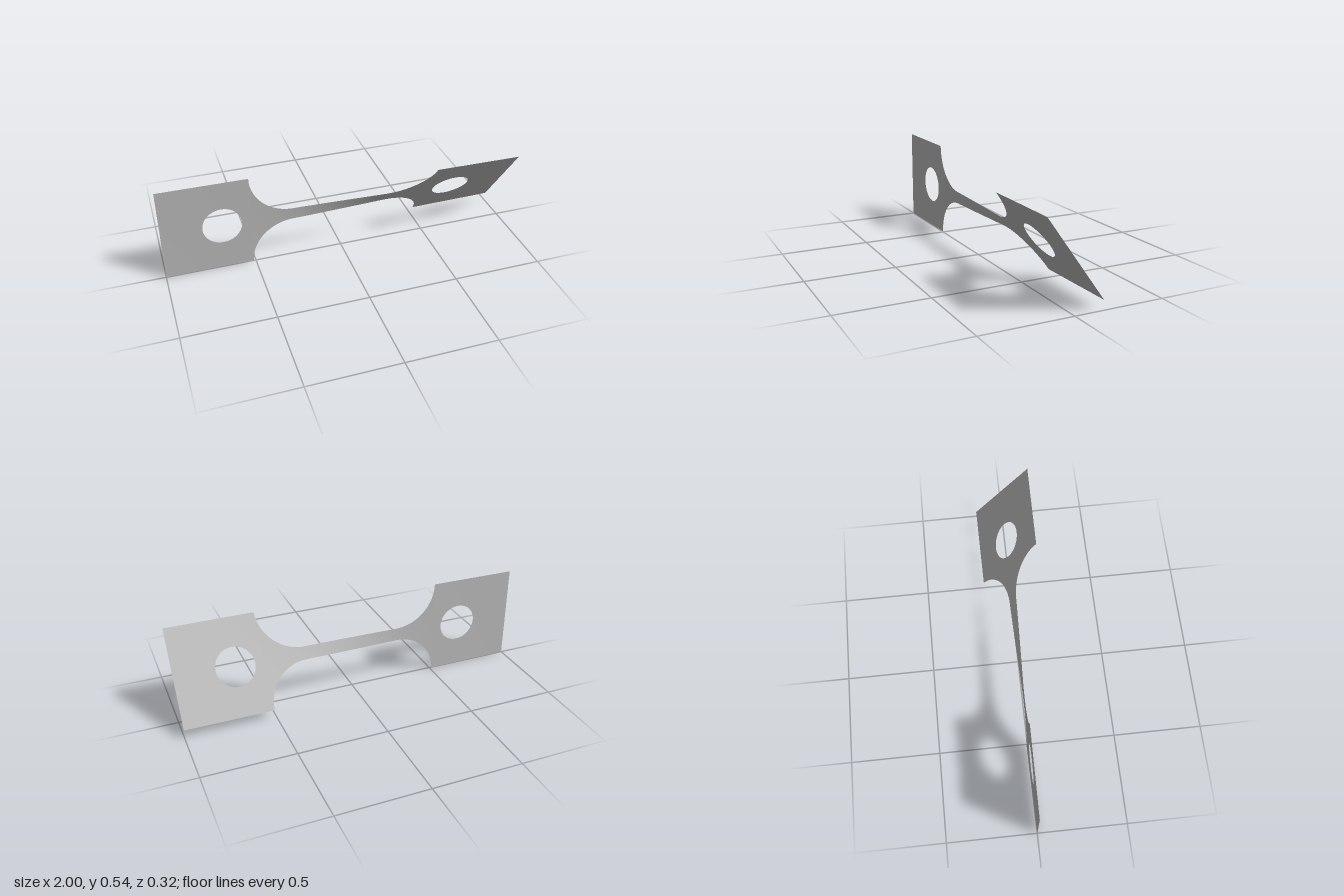
import * as THREE from 'three';
import { mergeVertices } from 'three/addons/utils/BufferGeometryUtils.js';

const HALF = 0.271;      // half height of the end plates, also the height of the axis
const NECK = 0.036;      // half height of the neck
const FILLET = HALF - NECK;
const CORNER = 0.51;     // inner corners of the plates
const HOLE_X = 0.668, HOLE_R = 0.108;

// Half height of the outline at x: plate, round fillet, neck
function outline(x) {
  const d = Math.abs(x);
  if (d >= CORNER) return HALF;
  const t = d - (CORNER - FILLET);
  return t <= 0 ? NECK : HALF - Math.sqrt(Math.max(0, FILLET * FILLET - t * t));
}

// Half height of the round hole at x
function hole(x) {
  const t = Math.abs(x) - HOLE_X;
  return Math.sqrt(Math.max(0, HOLE_R * HOLE_R - t * t));
}

// Twist about the long axis in degrees, concentrated in the neck
const KNOTS = [[-1, 0], [-0.51, 1], [-0.38, 2.2], [-0.25, 5.5], [0.25, 30.5], [0.38, 33.8], [0.51, 35], [1, 36]];
function twist(x) {
  let i = 0;
  while (i < KNOTS.length - 2 && x > KNOTS[i + 1][0]) i++;
  const [[x0, a0], [x1, a1]] = [KNOTS[i], KNOTS[i + 1]];
  return THREE.MathUtils.degToRad(a0 + (a1 - a0) * (x - x0) / (x1 - x0));
}

// Columns between breakpoints, crowded towards each one so the arcs stay round
function columns(breaks, n = 24) {
  const xs = [breaks[0]];
  for (let i = 1; i < breaks.length; i++)
    for (let k = 1; k <= n; k++)
      xs.push(breaks[i - 1] + (breaks[i] - breaks[i - 1]) * (1 - Math.cos(Math.PI * k / n)) / 2);
  return xs;
}

// Twisted sheet made of an upper and a lower strip, parted by the hole
function sheet(name, breaks, material) {
  const xs = columns(breaks), rows = 6, pos = [], index = [];
  for (const side of [1, -1]) {
    const base = pos.length / 3;
    xs.forEach((x, i) => {
      const a = twist(x), inner = hole(x), outer = outline(x);
      for (let j = 0; j <= rows; j++) {
        const v = side * (inner + (outer - inner) * j / rows);
        pos.push(x, HALF + v * Math.cos(a), v * Math.sin(a));
        if (i === 0 || j === 0) continue;
        const d = base + i * (rows + 1) + j, c = d - 1, b = d - rows - 1, e = b - 1;
        if (side > 0) index.push(e, c, d, e, d, b);
        else index.push(e, d, c, e, b, d);
      }
    });
  }
  let geo = new THREE.BufferGeometry();
  geo.setAttribute('position', new THREE.Float32BufferAttribute(pos, 3));
  geo.setIndex(index);
  geo = mergeVertices(geo, 1e-6);
  geo.computeVertexNormals();
  const mesh = new THREE.Mesh(geo, material);
  mesh.name = name;
  return mesh;
}

export function createModel() {
  const group = new THREE.Group();
  group.name = 'twistedStrip';
  const metal = new THREE.MeshStandardMaterial({ color: 0xbfbfbf, side: THREE.DoubleSide });
  metal.name = 'grey metal';

  const plate = [CORNER, HOLE_X - HOLE_R, HOLE_X + HOLE_R, 1];
  const arc = CORNER - FILLET;
  group.add(
    sheet('rightPlate', plate.map(x => -x).reverse(), metal),
    sheet('neck', [-CORNER, -arc, arc, CORNER], metal),
    sheet('leftPlate', plate, metal),
  );
  return group;
}
